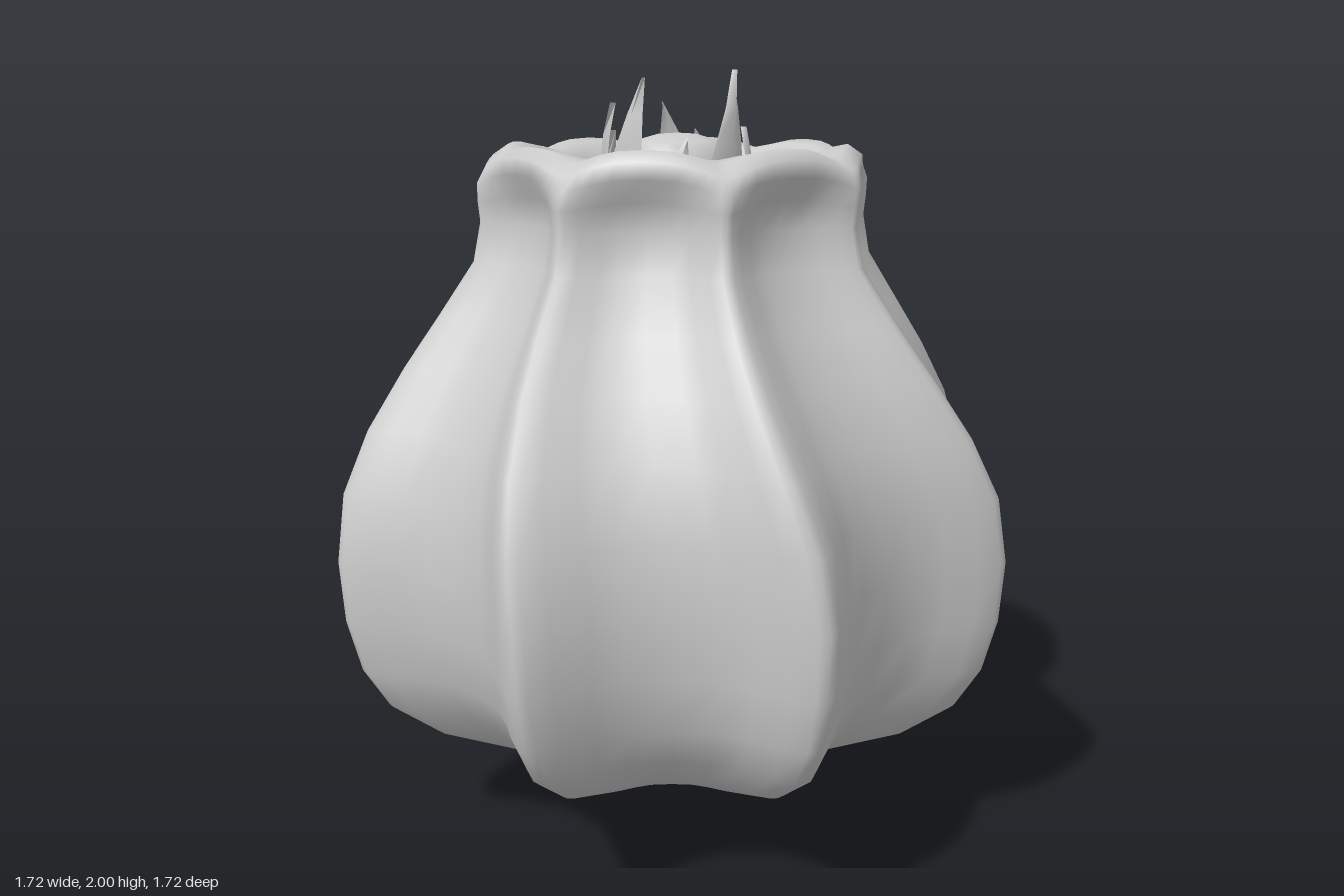
import * as THREE from 'three';

const RIBS = 8;
const RIB_ANGLE = THREE.MathUtils.degToRad(26); // direction of the first rib
const TWIST = THREE.MathUtils.degToRad(10);     // how far the ribs turn towards the neck
const NECK_SHIFT = 0.018;                       // the neck leans slightly to +x

// Cross-section of one rib: [fraction of the way to the next rib, 1 on the rib .. 0 in the groove]
const HALF_RIB = [[0, 1], [0.035, 0.96], [0.1, 0.73], [0.2, 0.37], [0.32, 0.1], [0.5, 0]];
const RIB = [...HALF_RIB, ...HALF_RIB.slice(1, -1).reverse().map(([u, w]) => [1 - u, w])];

// Rows from the base point, up the outside, over the lip and down the cavity:
// [y in the groove, radius on the rib, radius in the groove, drop on the rib]
const ROWS = [
  [0.06, 0.09, 0.085, 0], [0.13, 0.23, 0.2, 0], [0.2, 0.46, 0.38, 0], [0.29, 0.67, 0.53, 0],
  [0.39, 0.8, 0.63, 0], [0.5, 0.865, 0.69, 0], [0.64, 0.9, 0.72, 0], [0.8, 0.91, 0.73, 0],
  [0.97, 0.885, 0.71, 0], [1.12, 0.815, 0.66, 0], [1.27, 0.715, 0.58, 0], [1.4, 0.62, 0.5, 0],
  [1.53, 0.53, 0.435, 0], [1.63, 0.51, 0.415, 0], [1.7, 0.515, 0.43, 0.02], [1.755, 0.515, 0.472, 0.03],
  [1.795, 0.495, 0.472, 0.035], [1.82, 0.445, 0.435, 0.03], [1.81, 0.39, 0.39, 0.015], [1.77, 0.345, 0.345, 0],
  [1.69, 0.312, 0.312, 0], [1.58, 0.298, 0.298, 0], [1.48, 0.29, 0.29, 0], [1.4, 0.25, 0.25, 0],
  [1.25, 0.21, 0.21, 0],
];

const material = () => new THREE.MeshStandardMaterial({ color: 0xcccccc, side: THREE.DoubleSide });

// Ribbed shell: rings of vertices closed by a point at both ends
function shellGeometry() {
  const n = RIBS * RIB.length, pos = [], index = [];
  for (const [y, ribR, grooveR, drop] of ROWS) {
    const neck = THREE.MathUtils.smoothstep(y, 0.75, 1.6);
    for (let k = 0; k < RIBS; k++) {
      for (const [u, w] of RIB) {
        const r = grooveR + (ribR - grooveR) * w;
        const a = RIB_ANGLE + TWIST * neck + ((k + u) / RIBS) * Math.PI * 2;
        pos.push(r * Math.cos(a) + NECK_SHIFT * neck, y - drop * w, r * Math.sin(a));
      }
    }
  }
  const last = (ROWS.length - 1) * n, bottom = ROWS.length * n, floor = bottom + 1;
  pos.push(0, 0, 0, NECK_SHIFT, 1.22, 0);
  for (let i = 0; i < n; i++) {
    const j = (i + 1) % n;
    for (let k = 0; k < last; k += n) {
      index.push(k + i, k + n + i, k + j, k + j, k + n + i, k + n + j);
    }
    index.push(bottom, i, j, floor, last + j, last + i);
  }
  const g = new THREE.BufferGeometry();
  g.setAttribute('position', new THREE.Float32BufferAttribute(pos, 3));
  g.setIndex(index);
  g.computeVertexNormals();
  return g;
}

// Thin leaf wrapped round the bud, narrowing to a point that sweeps sideways
function leafGeometry(height) {
  const g = new THREE.PlaneGeometry(1, 1, 2, 6);
  const p = g.attributes.position;
  for (let i = 0; i < p.count; i++) {
    const t = p.getY(i) + 0.5;
    const a = (p.getX(i) * 0.9 - 0.4) * (1 - t * t);
    const r = 0.158 + 0.042 * Math.sin(t * Math.PI * 0.85) - 0.03 * Math.abs(p.getX(i)) * t;
    p.setXYZ(i, r * Math.sin(a), height * t, r * Math.cos(a));
  }
  g.computeVertexNormals();
  return g;
}

export function createModel() {
  const group = new THREE.Group();
  const add = (name, geometry, parent = group) => {
    const mesh = new THREE.Mesh(geometry, material());
    mesh.name = name;
    parent.add(mesh);
    return mesh;
  };

  add('ribbedBody', shellGeometry());

  // Flat-domed bud standing in the cavity
  const budProfile = [[0.13, 1.22], [0.145, 1.5], [0.158, 1.72], [0.15, 1.79], [0.11, 1.825], [0.05, 1.842], [0, 1.845]];
  const bud = add('bud', new THREE.LatheGeometry(budProfile.map(([x, y]) => new THREE.Vector2(x, y)), 12));
  bud.position.x = NECK_SHIFT;

  // Ring of uneven leaves: [degrees of the tip from front towards +x, tip height]
  const leaves = new THREE.Group();
  leaves.name = 'budLeaves';
  leaves.position.x = NECK_SHIFT;
  group.add(leaves);
  const tips = [[12, 1.98], [50, 1.84], [98, 2.0], [130, 1.86], [170, 1.88],
    [205, 1.85], [235, 1.92], [270, 1.87], [300, 1.85], [328, 1.92]];
  for (const [angle, tip] of tips) {
    const leaf = add('budLeaf', leafGeometry(tip - 1.45), leaves);
    leaf.position.y = 1.45;
    leaf.rotation.y = THREE.MathUtils.degToRad(angle);
  }
  return group;
}
